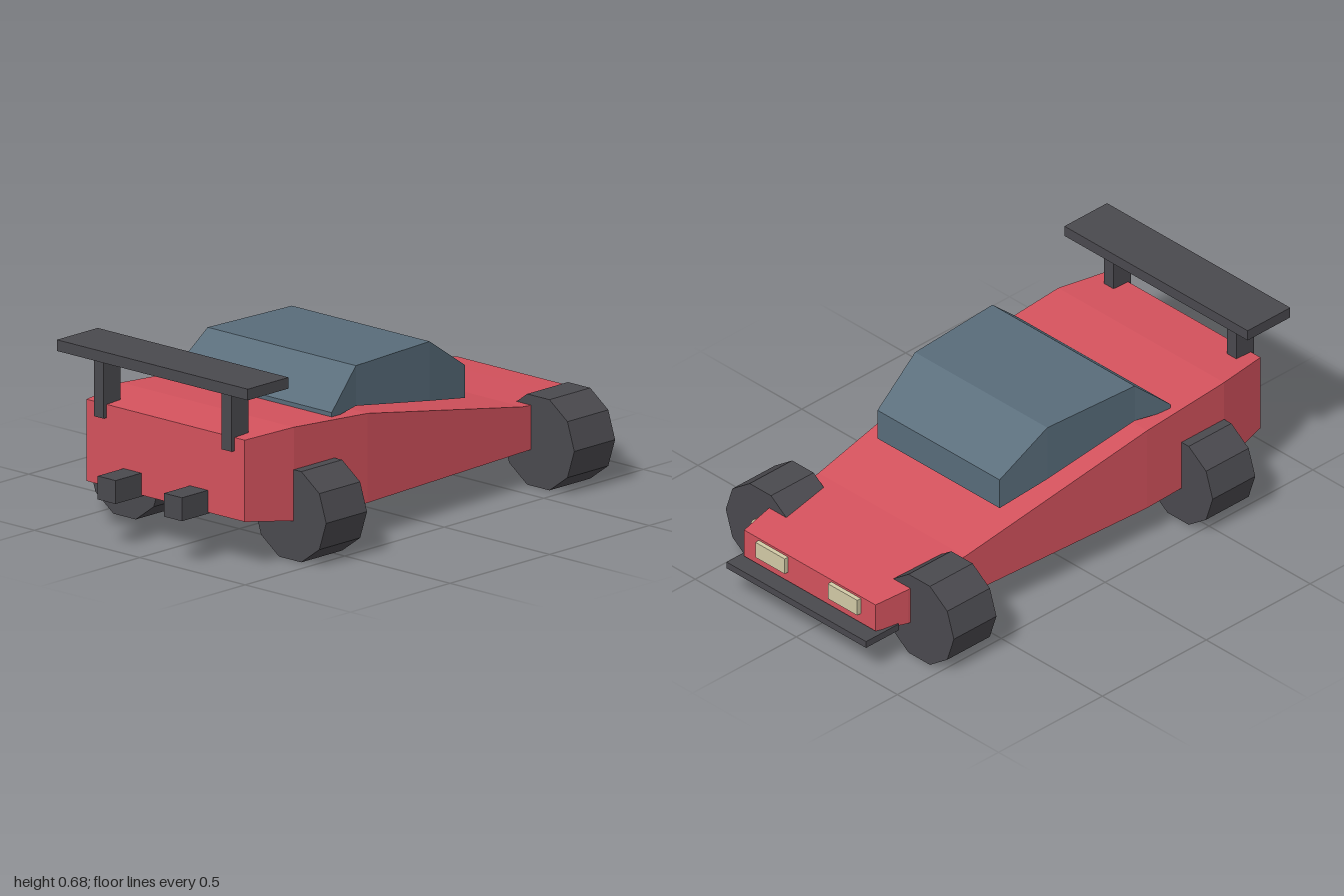
import * as THREE from 'three';

const paint = new THREE.MeshStandardMaterial({ color: 0xd4525d });
paint.name = 'red paint';
const glass = new THREE.MeshStandardMaterial({ color: 0x586c7a });
glass.name = 'blue grey glass';
const dark = new THREE.MeshStandardMaterial({ color: 0x4a494e });
dark.name = 'dark grey trim';
const cream = new THREE.MeshStandardMaterial({ color: 0xd2caa6 });
cream.name = 'cream lamp';

// Faceted hull through rectangular sections [z, halfWidth, bottom, top], z ascending
function loft(sections) {
  const rings = sections.map(([z, w, b, t]) => [[-w, b, z], [w, b, z], [w, t, z], [-w, t, z]]);
  const pos = [];
  const quad = (a, b, c, d) => pos.push(...a, ...b, ...c, ...a, ...c, ...d);
  for (let k = 0; k < rings.length - 1; k++) {
    const lo = rings[k], hi = rings[k + 1];
    for (let i = 0; i < 4; i++) {
      const j = (i + 1) % 4;
      quad(lo[i], lo[j], hi[j], hi[i]);
    }
  }
  const first = rings[0], last = rings[rings.length - 1];
  quad(first[3], first[2], first[1], first[0]);
  quad(...last);
  const geo = new THREE.BufferGeometry();
  geo.setAttribute('position', new THREE.Float32BufferAttribute(pos, 3));
  geo.computeVertexNormals();
  return geo;
}

// Box given by its limits on each axis
function box(x0, x1, y0, y1, z0, z1) {
  return new THREE.BoxGeometry(x1 - x0, y1 - y0, z1 - z0)
    .translate((x0 + x1) / 2, (y0 + y1) / 2, (z0 + z1) / 2);
}

// Ten-sided wheel with its axle along z and a hub cap on one face
function makeWheel(hubSide) {
  const wheel = new THREE.Group();
  const tyreGeo = new THREE.CylinderGeometry(0.171, 0.171, 0.205, 10)
    .rotateY(Math.PI / 2).rotateX(Math.PI / 2).toNonIndexed();
  tyreGeo.computeVertexNormals();
  const tyre = new THREE.Mesh(tyreGeo, dark);
  tyre.name = 'tyre';
  const hub = new THREE.Mesh(new THREE.CylinderGeometry(0.04, 0.04, 0.02, 20).rotateX(Math.PI / 2), cream);
  hub.name = 'hubCap';
  hub.position.z = hubSide * 0.1;
  wheel.add(tyre, hub);
  return wheel;
}

export function createModel() {
  const car = new THREE.Group();
  car.name = 'sportsCar';
  const add = (name, geo, mat) => {
    const mesh = new THREE.Mesh(geo, mat);
    mesh.name = name;
    car.add(mesh);
  };

  // Wedge body, nose towards -z
  add('body', loft([
    [-0.935, 0.325, 0.15, 0.258],
    [-0.8, 0.348, 0.13, 0.27],
    [-0.54, 0.362, 0.13, 0.293],
    [0.29, 0.41, 0.13, 0.451],
    [0.66, 0.41, 0.142, 0.478],
    [0.87, 0.375, 0.175, 0.468],
  ]), paint);

  // Glass cabin
  add('cabin', loft([
    [-0.315, 0.302, 0.36, 0.477],
    [-0.11, 0.327, 0.397, 0.61],
    [0.287, 0.352, 0.466, 0.61],
    [0.435, 0.377, 0.453, 0.477],
  ]), glass);

  // Rear wing and front splitter
  add('wing', box(-0.453, 0.453, 0.64, 0.68, 0.732, 0.937), dark);
  add('splitter', box(-0.345, 0.345, 0.12, 0.146, -1, -0.842), dark);

  // Paired parts
  for (const s of [-1, 1]) {
    const side = s > 0 ? 'left' : 'right';
    const pair = (x0, x1, ...rest) => box(Math.min(s * x0, s * x1), Math.max(s * x0, s * x1), ...rest);
    add(side + 'WingPost', pair(0.28, 0.327, 0.42, 0.645, 0.8, 0.885), dark);
    add(side + 'Exhaust', pair(0.115, 0.2, 0.17, 0.254, 0.85, 1), dark);
    add(side + 'Headlight', pair(0.107, 0.252, 0.188, 0.25, -0.952, -0.93), cream);
    for (const [end, z] of [['Front', -0.688], ['Rear', 0.558]]) {
      const wheel = makeWheel(-s);
      wheel.name = side + end + 'Wheel';
      wheel.position.set(s * 0.393, 0.163, z);
      car.add(wheel);
    }
  }
  return car;
}
